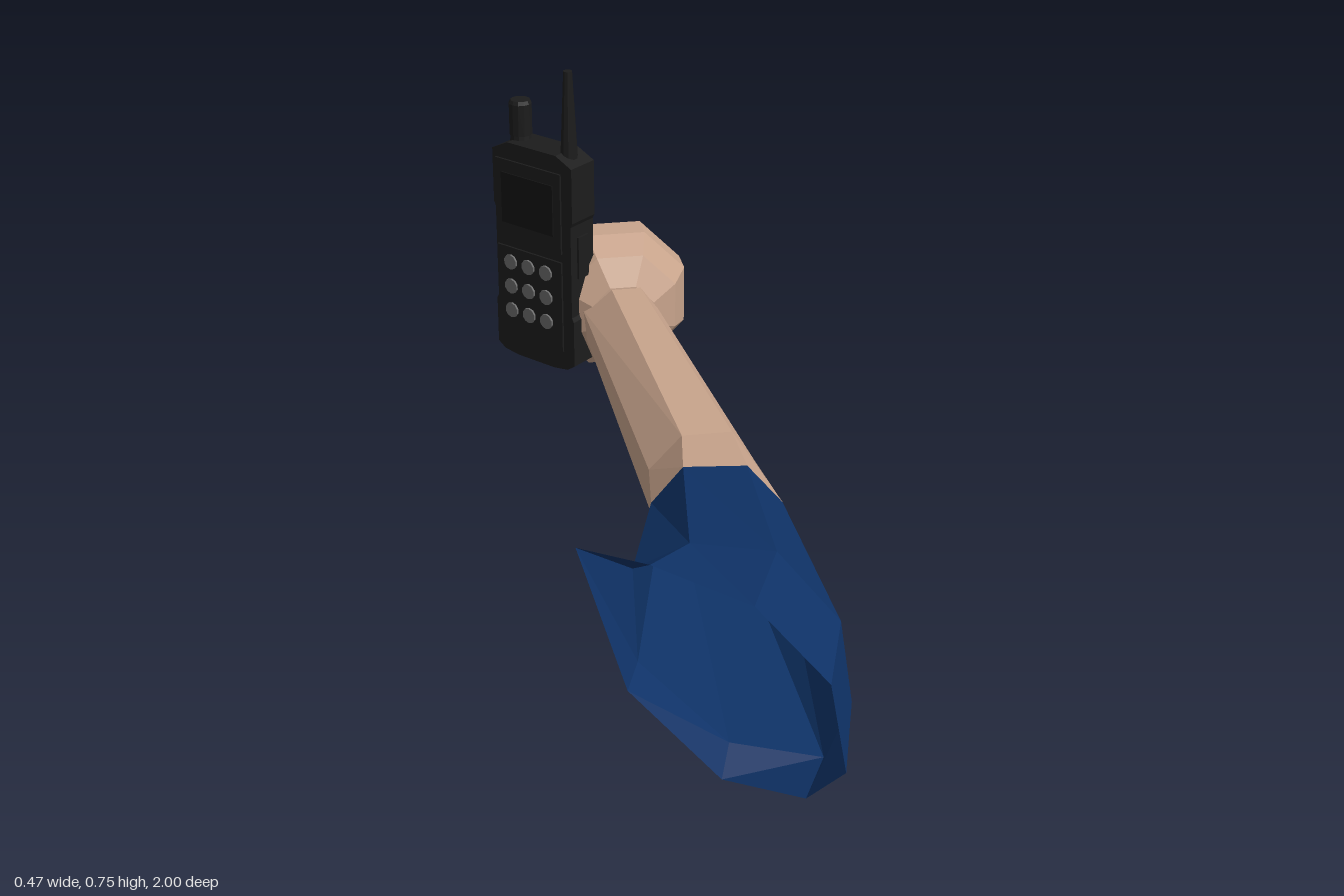
import * as THREE from 'three';

const mat = (name, color, side = THREE.FrontSide) =>
  new THREE.MeshStandardMaterial({ name, color, side, flatShading: true });

// Eight-sided tube lofted through rings of points, running from front to back
function loft(rings) {
  const n = rings[0].length, index = [];
  for (let i = 0; i < rings.length - 1; i++) {
    for (let j = 0; j < n; j++) {
      const k = (j + 1) % n;
      const a = i * n + j, b = i * n + k, c = a + n, d = b + n;
      index.push(a, b, c, b, d, c);
    }
  }
  const g = new THREE.BufferGeometry();
  g.setAttribute('position', new THREE.Float32BufferAttribute(rings.flat(2), 3));
  g.setIndex(index);
  const flat = g.toNonIndexed();
  flat.computeVertexNormals();
  return flat;
}

export function createModel() {
  const model = new THREE.Group();
  model.name = 'armWithRadio';

  const skin = mat('skin', 0xc8a48c, THREE.DoubleSide);
  const cloth = mat('sleeveBlue', 0x0f3368, THREE.DoubleSide);
  const black = mat('radioBlack', 0x1c1c1c);
  const dark = mat('panelBlack', 0x141414);
  const grey = mat('buttonGrey', 0x6a6a6a);

  const add = (parent, name, geometry, material, x = 0, y = 0, z = 0) => {
    const m = new THREE.Mesh(geometry, material);
    m.name = name;
    m.position.set(x, y, z);
    parent.add(m);
    return m;
  };

  // Rings go clockwise seen from the front, starting at the upper right
  const rim = [
    [0.11, 0.36, 1.0], [0.145, 0.18, 0.985], [0.105, 0.07, 0.9], [0, 0.0, 0.74],
    [-0.16, 0.2, 0.74], [-0.235, 0.45, 0.69], [-0.14, 0.5, 0.84], [0, 0.48, 0.95],
  ];
  const upper = [
    [0.18, 0.33, 0.79], [0.205, 0.17, 0.79], [0.17, 0.04, 0.76], [0.02, 0.045, 0.7],
    [-0.13, 0.2, 0.66], [-0.135, 0.37, 0.64], [-0.05, 0.44, 0.69], [0.085, 0.435, 0.73],
  ];
  const cuff = [
    [0.228, 0.195, 0.175], [0.23, 0.1, 0.175], [0.17, 0.033, 0.17], [0.06, 0.035, 0.155],
    [-0.01, 0.1, 0.145], [-0.02, 0.2, 0.145], [0.04, 0.275, 0.15], [0.16, 0.275, 0.165],
  ];
  const elbow = [
    [0.215, 0.185, 0], [0.22, 0.1, 0], [0.17, 0.028, 0], [0.07, 0.03, 0],
    [0.005, 0.09, 0], [0, 0.19, 0], [0.065, 0.26, 0], [0.165, 0.26, 0],
  ];
  const wrist = [
    [0.14, 0.2, -0.74], [0.135, 0.145, -0.74], [0.1, 0.1, -0.74], [0.03, 0.09, -0.74],
    [-0.02, 0.13, -0.74], [-0.027, 0.2, -0.74], [0.035, 0.255, -0.74], [0.1, 0.255, -0.74],
  ];
  add(model, 'sleeve', loft([rim, upper, cuff]), cloth);
  add(model, 'forearm', loft([cuff, elbow, wrist]), skin);

  // Hand: coarse ball with its poles along the arm
  const ball = new THREE.SphereGeometry(1, 8, 7);
  ball.rotateY(Math.PI / 8).rotateX(Math.PI / 2).scale(0.176, 0.178, 0.15);
  add(model, 'hand', ball, skin, 0.062, 0.187, -0.85);

  // Radio, turned so that its face looks to the front right
  const radio = new THREE.Group();
  radio.name = 'radio';
  radio.position.set(-0.1, 0, -0.825);
  radio.rotation.y = -0.83;
  model.add(radio);

  // Body outline with cut corners and a slightly narrower waist
  const half = [
    [0.055, 0.05], [0.095, 0.056], [0.115, 0.07], [0.115, 0.18],
    [0.11, 0.19], [0.11, 0.41], [0.115, 0.42], [0.115, 0.548], [0.07, 0.57],
  ];
  const outline = [...half, ...half.map(([x, y]) => [-x, y]).reverse()];
  const body = new THREE.ExtrudeGeometry(
    new THREE.Shape(outline.map(([x, y]) => new THREE.Vector2(x, y))),
    { depth: 0.078, bevelEnabled: false });
  add(radio, 'radioBody', body, black, 0, 0, -0.039);

  // Face panels
  add(radio, 'speakerPanel', new THREE.BoxGeometry(0.19, 0.19, 0.006), black, -0.01, 0.435, 0.041);
  add(radio, 'screen', new THREE.BoxGeometry(0.15, 0.12, 0.004), dark, -0.01, 0.44, 0.045);
  add(radio, 'keypadPanel', new THREE.BoxGeometry(0.19, 0.22, 0.006), black, -0.01, 0.21, 0.041);

  // Oval keys
  const key = new THREE.CylinderGeometry(0.018, 0.018, 0.008, 10).rotateX(Math.PI / 2);
  for (let row = 0; row < 3; row++) {
    for (let col = -1; col <= 1; col++) {
      add(radio, 'key', key, grey, -0.012 + col * 0.052, 0.165 + row * 0.06, 0.045);
    }
  }

  // Side button
  add(radio, 'talkButton', new THREE.BoxGeometry(0.008, 0.1, 0.035), black, 0.111, 0.33, 0);

  // Knob and antenna
  add(radio, 'knobCollar', new THREE.CylinderGeometry(0.022, 0.026, 0.03, 12), black, -0.066, 0.572, -0.004);
  const knob = new THREE.LatheGeometry(
    [[0, 0], [0.026, 0], [0.026, 0.072], [0.022, 0.08], [0, 0.08]]
      .map(([r, y]) => new THREE.Vector2(r, y)), 12);
  add(radio, 'knob', knob, black, -0.066, 0.58, -0.004);
  add(radio, 'antenna', new THREE.CylinderGeometry(0.01, 0.02, 0.2, 10), black, 0.077, 0.655, 0);

  return model;
}
